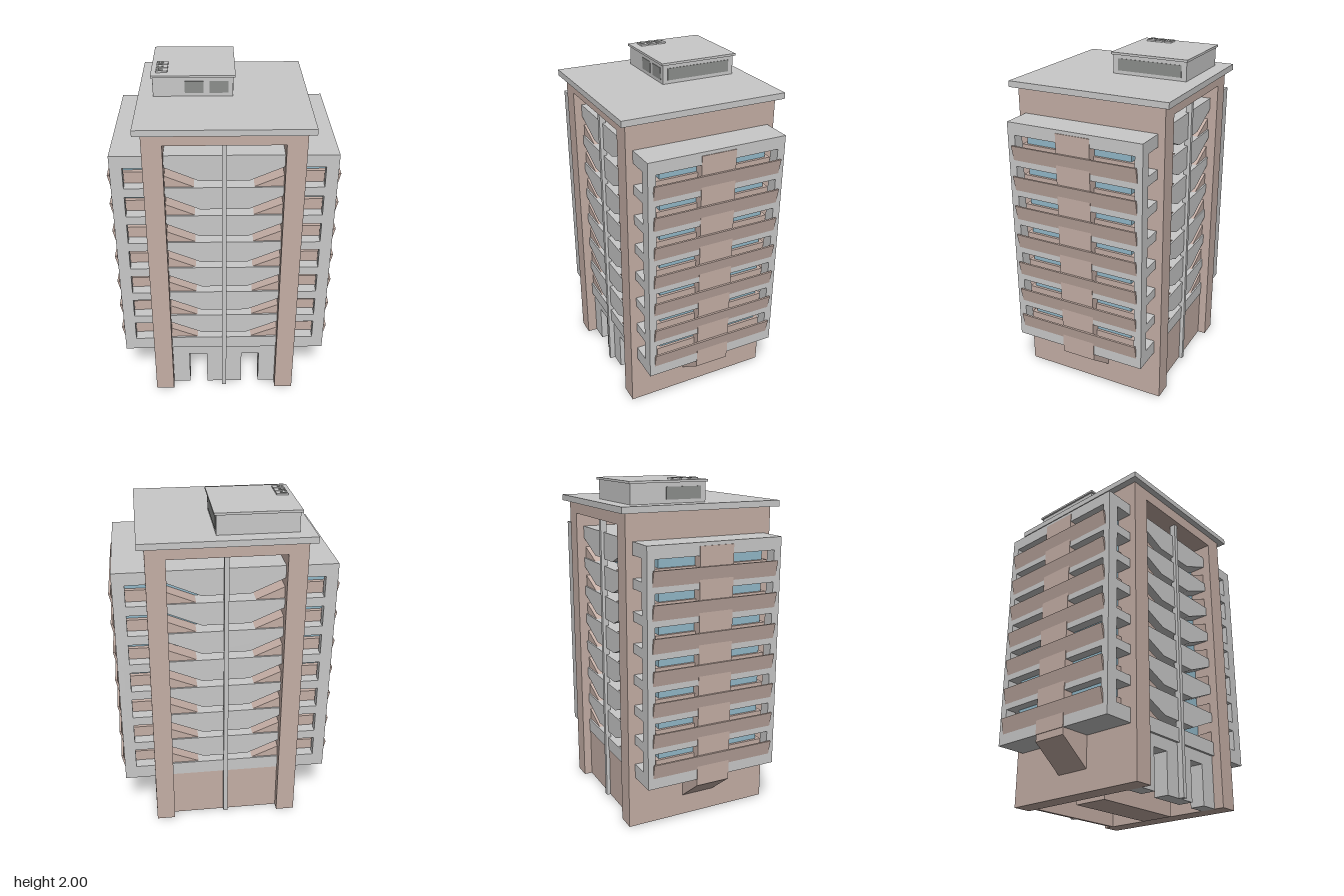
import * as THREE from 'three';

const mat = (name, color) => {
  const m = new THREE.MeshStandardMaterial({ color });
  m.name = name;
  return m;
};

export function createModel() {
  const model = new THREE.Group();
  model.name = 'apartmentTower';
  const concrete = mat('concrete', 0xc8c8c8);
  const clay = mat('clay', 0xc4aea5);
  const glass = mat('glass', 0x92b8c8);
  const darkGlass = mat('darkGlass', 0x8c8e8c);

  const add = (name, geometry, material) => {
    const mesh = new THREE.Mesh(geometry, material);
    mesh.name = name;
    model.add(mesh);
    return mesh;
  };
  // box given by its limits on each axis
  const box = (name, material, x0, x1, y0, y1, z0, z1) => {
    const mesh = add(name, new THREE.BoxGeometry(x1 - x0, y1 - y0, z1 - z0), material);
    mesh.position.set((x0 + x1) / 2, (y0 + y1) / 2, (z0 + z1) / 2);
  };
  // same box on both sides of the building
  const sideBox = (name, material, x0, x1, ...rest) => {
    box(name, material, x0, x1, ...rest);
    box(name, material, -x1, -x0, ...rest);
  };
  // x-y outline extruded along z
  const prism = (name, material, points, z0, z1) => {
    const shape = new THREE.Shape(points.map(([x, y]) => new THREE.Vector2(x, y)));
    const geometry = new THREE.ExtrudeGeometry(shape, { depth: z1 - z0, bevelEnabled: false });
    add(name, geometry.translate(0, 0, z0), material);
  };
  const sidePrism = (name, material, points, z0, z1) => {
    prism(name, material, points, z0, z1);
    prism(name, material, points.map(([x, y]) => [-x, y]).reverse(), z0, z1);
  };

  const floors = 7, step = 0.18, firstSill = 0.403, gap = 0.125, slot = 0.042;

  // main frame: side walls, top beam and roof slab
  sideBox('sideWall', clay, 0.325, 0.435, 0.01, 1.83, -0.45, 0.45);
  box('topBeam', clay, -0.325, 0.325, 1.76, 1.83, -0.45, 0.45);
  box('roofSlab', concrete, -0.475, 0.475, 1.83, 1.865, -0.485, 0.485);

  // glazed core behind the galleries and side bays
  box('coreGlazing', glass, -0.325, 0.325, 0.36, 1.64, -0.3, 0.3);
  sideBox('bayGlazing', glass, 0.435, 0.56, 0.36, 1.64, -0.32, 0.32);

  // lowest floor bands
  box('baseBand', concrete, -0.325, 0.325, 0.32, firstSill, -0.405, 0.405);
  sideBox('bayBase', concrete, 0.435, 0.615, 0.32, firstSill, -0.41, 0.41);

  for (let i = 0; i < floors; i++) {
    const sill = firstSill + i * step;
    const top = i === floors - 1 ? 1.68 : sill + step;
    // central band with a sunken middle
    prism('galleryBand', concrete, [
      [-0.325, sill + gap], [-0.135, sill + slot], [0.135, sill + slot],
      [0.325, sill + gap], [0.325, top], [-0.325, top],
    ], -0.405, 0.405);
    // sloping fill beside each wall
    sidePrism('galleryRamp', clay,
      [[0.165, sill], [0.325, sill], [0.325, sill + 0.068]], -0.395, 0.395);
    // bay floors and the low wall inside their end openings
    sideBox('bayBand', concrete, 0.435, 0.615, sill + gap, top, -0.41, 0.41);
    sideBox('bayLowWall', clay, 0.435, 0.575, sill, sill + 0.068, -0.345, 0.345);
    // leaning balcony front
    sidePrism('balconyFront', clay, [
      [0.603, sill - 0.02], [0.615, sill - 0.02], [0.635, sill + 0.068], [0.623, sill + 0.068],
    ], -0.38, 0.38);
  }

  // bay corner posts, middle strips and the wedge brackets below
  for (const z of [-0.3875, 0.3875]) {
    sideBox('bayCornerPost', concrete, 0.547, 0.615, 0.32, 1.68, z - 0.0225, z + 0.0225);
  }
  sideBox('bayMiddleStrip', clay, 0.435, 0.619, 0.32, 1.66, -0.103, 0.103);
  sidePrism('bayBracket', clay,
    [[0.435, 0.135], [0.615, 0.28], [0.615, 0.32], [0.435, 0.32]], -0.103, 0.103);

  // slim posts at the middle of front and back
  for (const z of [-0.405, 0.405]) {
    box('middlePost', concrete, -0.013, 0.013, 0.01, 1.76, z - 0.018, z + 0.018);
  }

  // ground floor: core, back wall and entrance wall with two doorways
  box('groundCore', clay, -0.29, 0.29, 0, 0.32, -0.103, 0.103);
  box('backWall', clay, -0.325, 0.325, 0.01, 0.32, -0.4, -0.38);
  box('entranceMiddle', concrete, -0.11, 0.11, 0.01, 0.32, 0.3, 0.39);
  sideBox('entranceEnd', concrete, 0.22, 0.325, 0.01, 0.32, 0.3, 0.39);
  sideBox('doorLintel', concrete, 0.11, 0.22, 0.25, 0.32, 0.3, 0.39);

  // rooftop room with windows
  box('roofRoom', concrete, -0.39, 0.055, 1.865, 1.975, -0.4, 0.05);
  box('roofRoomLid', concrete, -0.4, 0.068, 1.975, 1.988, -0.41, 0.06);
  for (const x of [-0.213, -0.076]) {
    box('frontWindow', darkGlass, x, x + 0.104, 1.885, 1.953, 0.048, 0.053);
  }
  box('longWindow', darkGlass, 0.053, 0.058, 1.885, 1.953, -0.37, 0.02);
  box('shortWindow', darkGlass, -0.393, -0.388, 1.885, 1.953, -0.19, 0.02);

  // three fan units on the lid
  for (const z of [-0.122, -0.066, -0.01]) {
    box('fanUnit', concrete, -0.373, -0.308, 1.988, 1.997, z - 0.023, z + 0.023);
    const ring = add('fanRing', new THREE.CylinderGeometry(0.019, 0.019, 0.003, 20), darkGlass);
    ring.position.set(-0.35, 1.9975, z);
    const hub = add('fanHub', new THREE.CylinderGeometry(0.008, 0.008, 0.004, 12), concrete);
    hub.position.set(-0.35, 1.998, z);
  }
  return model;
}
